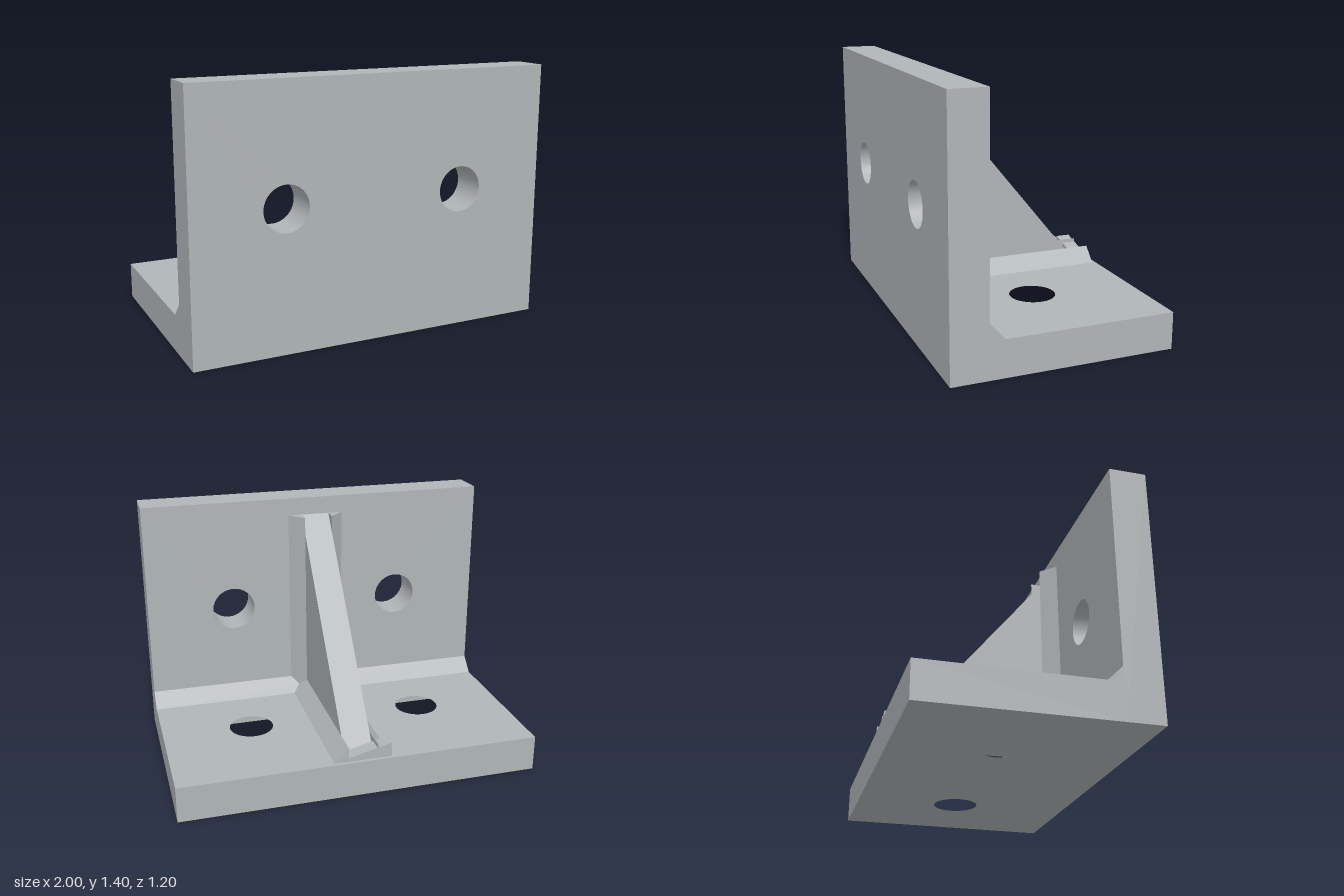
import * as THREE from 'three';
import { toCreasedNormals } from 'three/addons/utils/BufferGeometryUtils.js';

const WELD = 0.08, RIB = 0.08, HOLE = 0.123;

// Extrudes a polygon along +z, with optional round holes
function prism(points, depth, holes = []) {
  const shape = new THREE.Shape(points.map(([x, y]) => new THREE.Vector2(x, y)));
  for (const [x, y] of holes) {
    shape.holes.push(new THREE.Path().absarc(x, y, HOLE, 0, Math.PI * 2, true));
  }
  const geo = new THREE.ExtrudeGeometry(shape, { depth, bevelEnabled: false, curveSegments: 32 });
  return toCreasedNormals(geo, 0.5);
}

// Profile given as [z, y], centred along x
const alongX = (points, width) => prism(points, width).rotateY(-Math.PI / 2).translate(width / 2, 0, 0);

// Profile given as [x, z], raised from y0 to y1
const alongY = (points, y0, y1, holes = []) =>
  prism(points.map(([x, z]) => [x, -z]), y1 - y0, holes.map(([x, z]) => [x, -z]))
    .rotateX(-Math.PI / 2).translate(0, y0, 0);

export function createModel() {
  const model = new THREE.Group();
  model.name = 'ribbedAngleBracket';
  const steel = new THREE.MeshStandardMaterial({ color: 0xb0b5b7 });
  steel.name = 'grey steel';

  const add = (name, geometry) => {
    const mesh = new THREE.Mesh(geometry, steel);
    mesh.name = name;
    model.add(mesh);
  };

  // Two drilled plates forming the angle
  add('uprightPlate', prism([[-1, 0], [1, 0], [1, 1.4], [-1, 1.4]], 0.2,
    [[-0.5, 0.76], [0.5, 0.76]]).translate(0, 0, 0.4));
  add('basePlate', alongY([[-1, -0.6], [1, -0.6], [1, 0.4], [-1, 0.4]], 0, 0.2,
    [[-0.5, -0.04], [0.5, -0.04]]));

  // Sloped bead in the inner corner, and the triangular rib
  add('cornerWeld', alongX([[0.4, 0.2], [0.4, 0.2 + WELD], [0.4 - WELD, 0.2]], 2));
  add('rib', alongX([[0.4, 0.2], [0.4, 1.3], [-0.5, 0.2]], RIB * 2));

  // Beads along both sides of the rib
  for (const [side, s] of [['left', 1], ['right', -1]]) {
    const inner = s * RIB, outer = s * (RIB + WELD);
    add(side + 'BaseWeld',
      prism([[inner, 0.2], [outer, 0.2], [inner, 0.2 + WELD]], 0.98).translate(0, 0, -0.58));
    add(side + 'UprightWeld',
      alongY([[inner, 0.4], [outer, 0.4], [inner, 0.4 - WELD]], 0.2, 1.3));
  }

  // Low wedge across the toe of the rib
  add('toeWeld', prism([[0.16, 0.2], [-0.16, 0.2], [-0.16, 0.28]], WELD).translate(0, 0, -0.58));

  return model;
}
